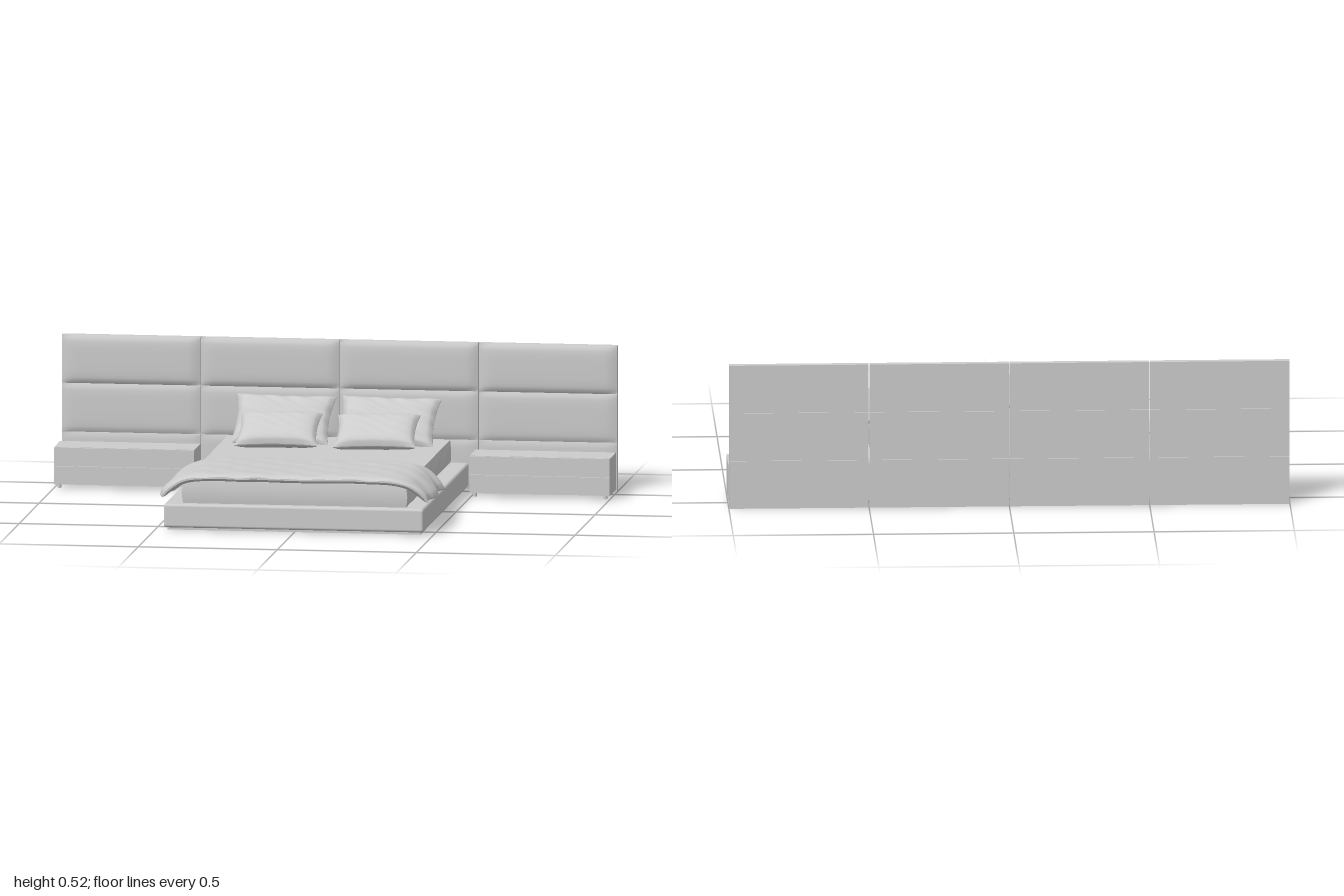
import * as THREE from 'three';
import { RoundedBoxGeometry } from 'three/addons/geometries/RoundedBoxGeometry.js';

const material = new THREE.MeshStandardMaterial({ color: 0xcccccc, side: THREE.DoubleSide });

function add(parent, name, geometry, x = 0, y = 0, z = 0) {
  const mesh = new THREE.Mesh(geometry, material);
  mesh.name = name;
  mesh.position.set(x, y, z);
  parent.add(mesh);
  return mesh;
}

// Two facing sheets joined at the rim; rule(u, v, side) gives a point for u, v in -1..1
function sheets(nu, nv, rule) {
  const g = new THREE.BoxGeometry(2, 2, 2, nu, nv, 1);
  const p = g.attributes.position;
  for (let i = 0; i < p.count; i++) {
    p.setXYZ(i, ...rule(p.getX(i), p.getY(i), p.getZ(i)));
  }
  g.computeVertexNormals();
  return g;
}

// Upholstered panel: flat back, softly bulged front
function panelGeometry(w, h, depth, bulge) {
  return sheets(24, 16, (u, v, side) => {
    const puff = Math.sqrt(Math.max(0, (1 - u ** 12) * (1 - v ** 4)));
    return [u * w / 2, v * h / 2, side > 0 ? depth + bulge * puff : 0];
  });
}

// Cushion with pulled-in edges, pointed corners and diagonal creases
function pillowGeometry(w, h, thick, crease) {
  return sheets(36, 28, (u, v, side) => {
    const body = Math.sqrt(Math.max(0, (1 - u ** 4) * (1 - v ** 4)));
    const folds = crease * Math.sin(9 * u + 13 * v + 2 * Math.sin(3 * u)) * body;
    return [
      u * w / 2 * (1 - 0.07 * (1 - v * v)),
      v * h / 2 * (1 - 0.1 * (1 - u * u)),
      side * (thick * body + 0.002) + folds,
    ];
  });
}

// Throw blanket: a padded sheet following the drape across the bed
function blanketGeometry() {
  const half = [[0, 0.19], [0.18, 0.191], [0.34, 0.189], [0.405, 0.177], [0.45, 0.148], [0.482, 0.118]];
  const mirrored = half.slice(1).reverse().map(([x, y]) => [-x, y]);
  const path = new THREE.CatmullRomCurve3(
    [...mirrored, ...half].map(([x, y]) => new THREE.Vector3(x, y, 0)));
  return sheets(90, 44, (u, v, side) => {
    const t = (u + 1) / 2;
    const c = path.getPointAt(t), d = path.getTangentAt(t);
    const rim = Math.sqrt(Math.max(0, (1 - u ** 20) * (1 - v ** 10)));
    const drop = Math.max(0, (Math.abs(u) - 0.72) / 0.28);
    const ripple = 0.002 * Math.sin(15 * u + 4 * v) * Math.sin(7 * v + 5 * u)
      + 0.0015 * Math.sin(27 * u - 9 * v);
    const off = side * (0.003 + 0.013 * rim) + ripple * (side > 0 ? 1 : 0.3);
    const flare = 0.009 * drop * Math.sin(5 * v + 2 * u);
    const back = 0.155 + 0.045 * drop ** 2 + 0.004 * Math.sin(10 * u);
    const front = 0.588 - 0.015 * drop ** 2 + 0.003 * Math.sin(12 * u);
    // v = 1 is the head side, so that the outer sheet faces up
    return [
      c.x - d.y * off + Math.sign(u) * flare,
      c.y + d.x * off - 0.006 * drop * (v + 1) / 2,
      THREE.MathUtils.lerp(front, back, (v + 1) / 2),
    ];
  });
}

// Mattress with faint sheet wrinkles along its long sides
function mattressGeometry() {
  const g = new THREE.BoxGeometry(0.8, 0.085, 1.115, 24, 6, 60);
  const p = g.attributes.position;
  for (let i = 0; i < p.count; i++) {
    const x = p.getX(i), y = p.getY(i), z = p.getZ(i);
    const edge = Math.abs(x) > 0.399 ? 1 : 0;
    const bow = 1 - (y / 0.0425) ** 2;
    p.setX(i, x + edge * Math.sign(x) * bow * (0.004 + 0.002 * Math.sin(26 * z + 50 * y)));
    if (Math.abs(z) > 0.557) p.setZ(i, z + Math.sign(z) * 0.004 * bow);
  }
  g.computeVertexNormals();
  return g;
}

function nightstand(name, x) {
  const group = new THREE.Group();
  group.name = name;
  group.position.set(x, 0, -0.45);
  const w = 0.505;
  add(group, 'nightstandBody', new THREE.BoxGeometry(w, 0.134, 0.15), 0, 0.08, -0.005);
  for (const y of [0.0465, 0.1135]) {
    add(group, 'drawerFront', new THREE.BoxGeometry(w, 0.065, 0.01), 0, y, 0.075);
  }
  for (const sx of [-1, 1]) for (const sz of [-1, 1]) {
    add(group, 'nightstandFoot', new THREE.CylinderGeometry(0.007, 0.007, 0.014, 16), sx * 0.235, 0.007, sz * 0.062);
  }
  return group;
}

export function createModel() {
  const model = new THREE.Group();
  model.name = 'bed';

  // Headboard: four columns by three rows of panels
  const headboard = new THREE.Group();
  headboard.name = 'headboard';
  model.add(headboard);
  const bulges = [0.006, 0.009, 0.013];
  for (let col = 0; col < 4; col++) {
    for (let row = 0; row < 3; row++) {
      add(headboard, 'headboardPanel', panelGeometry(0.497, 0.174, 0.026, bulges[row]),
        -0.75 + col * 0.5, 0.0875 + row * 0.175, -0.597);
    }
  }

  // Bed frame on a recessed plinth, with the mattress on top
  add(model, 'plinth', new THREE.BoxGeometry(0.91, 0.02, 1.12), 0, 0.012, 0.02);
  add(model, 'bedFrame', new RoundedBoxGeometry(0.935, 0.085, 1.15, 4, 0.01), 0, 0.0535, 0.021);
  add(model, 'mattress', mattressGeometry(), 0, 0.1335, 0.005);
  add(model, 'blanket', blanketGeometry());

  // Pillows leaning on the headboard, small cushions in front of them
  const large = pillowGeometry(0.355, 0.235, 0.036, 0.004);
  const small = pillowGeometry(0.295, 0.2, 0.032, 0.001);
  const place = (name, geometry, x, y, z, tilt, roll) =>
    add(model, name, geometry, x, y, z).rotation.set(-tilt, 0, roll);
  place('rightPillow', large, -0.188, 0.248, -0.463, 0.86, -0.02);
  place('leftPillow', large, 0.19, 0.248, -0.463, 0.86, -0.02);
  place('rightCushion', small, -0.187, 0.232, -0.343, 1.1, 0.02);
  place('leftCushion', small, 0.166, 0.232, -0.343, 1.1, 0.03);

  model.add(nightstand('rightNightstand', -0.7475), nightstand('leftNightstand', 0.7475));
  return model;
}
